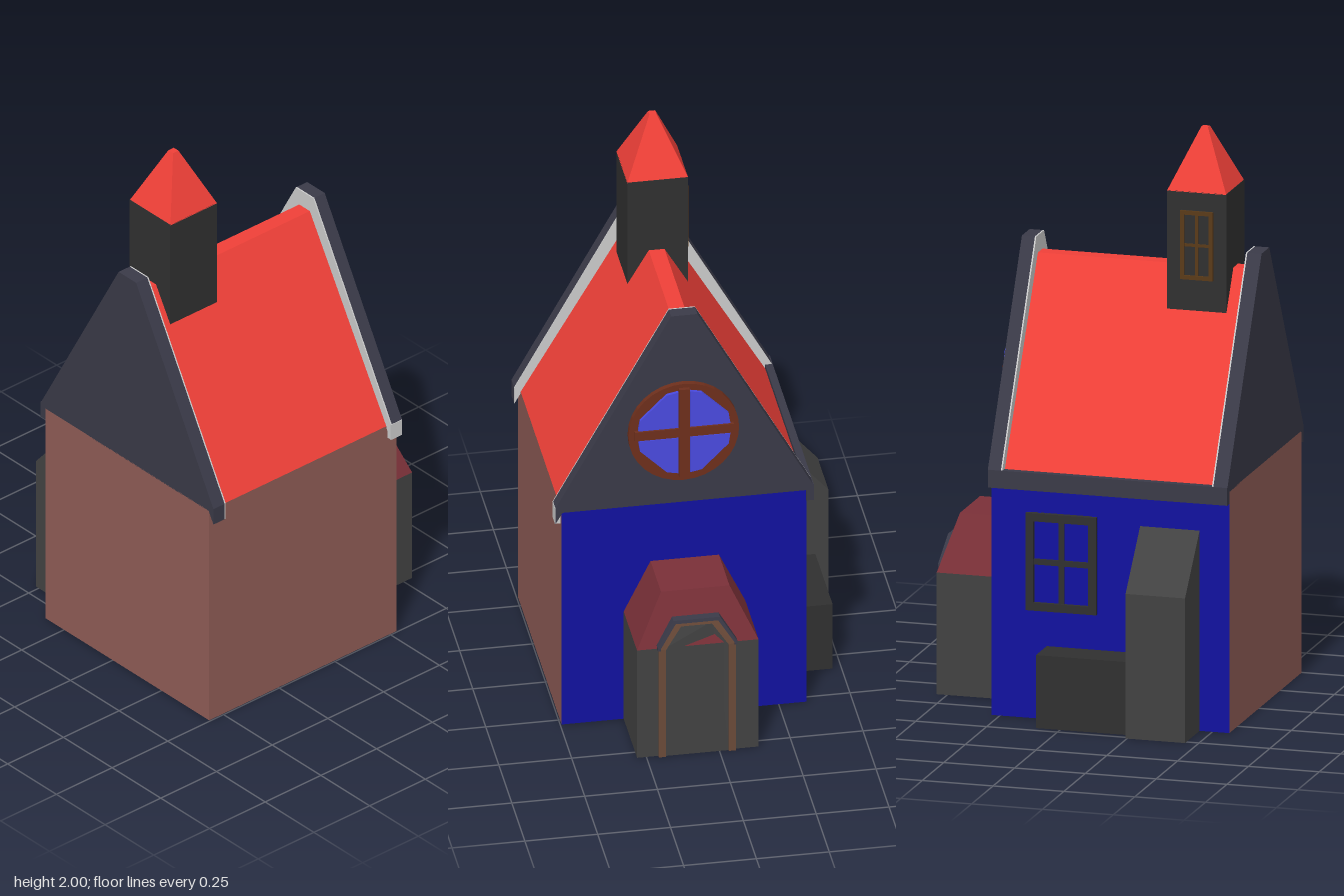
import * as THREE from 'three';

const mat = (color) => new THREE.MeshStandardMaterial({ color, flatShading: true });
const M = {
  brick: mat(0x8f5c56), blue: mat(0x1111a0), red: mat(0xf04038), dark: mat(0x303030),
  stone: mat(0x424242), gable: mat(0x4c4c4c), grey: mat(0xcccccc), trim: mat(0x3a3a48),
  maroon: mat(0x7a3038), wood: mat(0x6e2f1c), post: mat(0x6b4a38), glass: mat(0x4a4ae0),
  bronze: mat(0x5a3a18),
};

export function createModel() {
  const root = new THREE.Group();
  const CZ = 0.075; // ridge line of the house

  const add = (name, geo, material, parent = root) => {
    const m = new THREE.Mesh(geo, material);
    m.name = name;
    parent.add(m);
    return m;
  };
  // Box given by its extents
  const box = (name, x0, x1, y0, y1, z0, z1, material, parent) => {
    const m = add(name, new THREE.BoxGeometry(x1 - x0, y1 - y0, z1 - z0), material, parent);
    m.position.set((x0 + x1) / 2, (y0 + y1) / 2, (z0 + z1) / 2);
    return m;
  };
  // Outline of [z, y] points extruded along x
  const path = (pts) => pts.map(([z, y]) => new THREE.Vector2(-z, y));
  const slab = (name, pts, x0, x1, material, parent, hole) => {
    const shape = new THREE.Shape(path(pts));
    if (hole) shape.holes.push(new THREE.Path(path(hole)));
    const geo = new THREE.ExtrudeGeometry(shape, { depth: x1 - x0, bevelEnabled: false, curveSegments: 24 });
    geo.rotateY(Math.PI / 2).translate(x0, 0, 0);
    return add(name, geo, material, parent);
  };
  // Half outline mirrored about a z centre
  const mirrored = (half, cz) => [
    ...half.map(([d, y]) => [cz + d, y]),
    ...half.slice().reverse().map(([d, y]) => [cz - d, y]),
  ];

  // Walls: two brick sides, two blue sides
  box('walls', -0.56, 0.28, 0, 0.845, -0.345, 0.495,
    [M.blue, M.brick, M.blue, M.blue, M.brick, M.blue]);

  // Roof and gable ends
  const roof = mirrored([[0.42, 0.845], [0.027, 1.52]], CZ);
  slab('roof', roof, -0.505, 0.235, M.red);
  slab('rightGable', roof, 0.235, 0.281, M.gable);
  slab('leftGable', roof, -0.557, -0.505, M.grey);

  // Verge boards with pale inner faces
  const verge = [
    ...mirrored([[0.442, 0.8], [0.442, 0.862], [0.045, 1.58]], CZ),
    ...mirrored([[0.027, 1.52], [0.418, 0.842]], CZ).reverse(),
  ];
  slab('rightVerge', verge, 0.24, 0.286, M.trim);
  slab('rightVergeLining', verge, 0.235, 0.24, M.grey);
  slab('leftVerge', verge, -0.56, -0.51, M.trim);
  slab('leftVergeLining', verge, -0.51, -0.505, M.grey);
  box('vergeEnd', 0.236, 0.285, 0.801, 0.862, 0.5, 0.519, M.grey);
  box('backEave', -0.56, 0.285, 0.8, 0.862, -0.37, -0.344, M.trim);

  // Tower with spire and a small back window
  const tower = new THREE.Group();
  tower.name = 'tower';
  root.add(tower);
  box('towerShaft', -0.455, -0.245, 1.38, 1.795, -0.033, 0.175, M.dark, tower);
  const spire = add('spire', new THREE.CylinderGeometry(0.017, 0.148, 0.207, 4).rotateY(Math.PI / 4), M.red, tower);
  spire.position.set(-0.35, 1.8965, 0.071);

  // Framed window on a back-facing wall
  const backWindow = (name, cx, cy, w, h, z, t, depth, frame, pane) => {
    const g = new THREE.Group();
    g.name = name;
    root.add(g);
    const x0 = cx - w / 2, x1 = cx + w / 2, y0 = cy - h / 2, y1 = cy + h / 2;
    box('pane', x0, x1, y0, y1, z - depth * 0.3, z + 0.005, pane, g);
    for (const x of [x0, x1 - t]) box('jamb', x, x + t, y0, y1, z - depth, z, frame, g);
    for (const y of [y0, y1 - t]) box('rail', x0 + t, x1 - t, y, y + t, z - depth, z, frame, g);
    box('mullion', cx - t * 0.35, cx + t * 0.35, y0, y1, z - depth * 0.7, z, frame, g);
    box('crossbar', x0, x1, cy - t * 0.35, cy + t * 0.35, z - depth * 0.7, z, frame, g);
  };
  backWindow('towerWindow', -0.352, 1.61, 0.115, 0.24, -0.033, 0.014, 0.01, M.bronze, M.dark);
  backWindow('wallWindow', 0.03, 0.55, 0.25, 0.34, -0.345, 0.028, 0.018, M.dark, M.blue);

  // Round gable window: disc frame with four raised panes
  const rose = new THREE.Group();
  rose.name = 'roundWindow';
  root.add(rose);
  const disc = add('roundFrame', new THREE.CylinderGeometry(0.19, 0.19, 0.022, 32).rotateZ(Math.PI / 2), M.wood, rose);
  disc.position.set(0.294, 1.13, 0.08);
  for (const sz of [-1, 1]) for (const sy of [-1, 1]) {
    const pane = [[0.02, 0.02], [0.158, 0.02], [0.152, 0.06], [0.06, 0.152], [0.02, 0.16]];
    slab('pane', pane.map(([z, y]) => [0.08 + sz * z, 1.135 + sy * y]), 0.3, 0.317, M.glass, rose);
  }
  box('crossVertical', 0.3, 0.319, 0.96, 1.305, 0.062, 0.098, M.wood, rose);
  box('crossHorizontal', 0.3, 0.319, 1.118, 1.152, -0.09, 0.25, M.wood, rose);

  // Porch with hipped roof
  const porch = new THREE.Group();
  porch.name = 'porch';
  root.add(porch);
  box('porchWalls', 0.28, 0.537, 0, 0.425, -0.135, 0.282, M.stone, porch);
  const hip = new THREE.BoxGeometry(0.257, 0.19, 0.417).translate(0.4085, 0.52, 0.0735);
  const p = hip.attributes.position;
  for (let i = 0; i < p.count; i++) {
    if (p.getY(i) < 0.5) continue;
    p.setZ(i, p.getZ(i) > CZ ? 0.19 : -0.045);
    if (p.getX(i) > 0.4) p.setX(i, 0.482);
  }
  hip.computeVertexNormals();
  add('porchRoof', hip, M.maroon, porch);

  // Door and arched surround, the arch leaning back with the hip
  const lean = (mesh) => {
    const a = mesh.geometry.attributes.position;
    for (let i = 0; i < a.count; i++) {
      const y = a.getY(i);
      if (y > 0.43) a.setX(i, a.getX(i) - (y - 0.43) * 0.2);
    }
    mesh.geometry.computeVertexNormals();
  };
  const arch = (w, y1, y2) => [[w, 0], [w, y1], [w - 0.055, y2]];
  const ring = (outer, inner) => [...mirrored(outer, 0.077), ...mirrored(inner, 0.077).reverse()];
  lean(slab('door', mirrored(arch(0.112, 0.425, 0.508), 0.077), 0.48, 0.542, M.stone, porch));
  lean(slab('doorFrame', ring(arch(0.132, 0.428, 0.518), arch(0.108, 0.422, 0.502)), 0.48, 0.548, M.post, porch));
  lean(slab('archHood', ring([[0.137, 0.425], [0.137, 0.437], [0.08, 0.528]],
    [[0.127, 0.425], [0.127, 0.432], [0.073, 0.516]]), 0.5, 0.556, M.trim, porch));

  // Lean-to buttress and low block at the back
  slab('backButtress', [[-0.34, 0], [-0.34, 0.705], [-0.515, 0.505], [-0.515, 0]], -0.455, -0.245, M.stone);
  box('backBlock', -0.245, 0.085, 0, 0.255, -0.47, -0.34, M.dark);

  return root;
}
